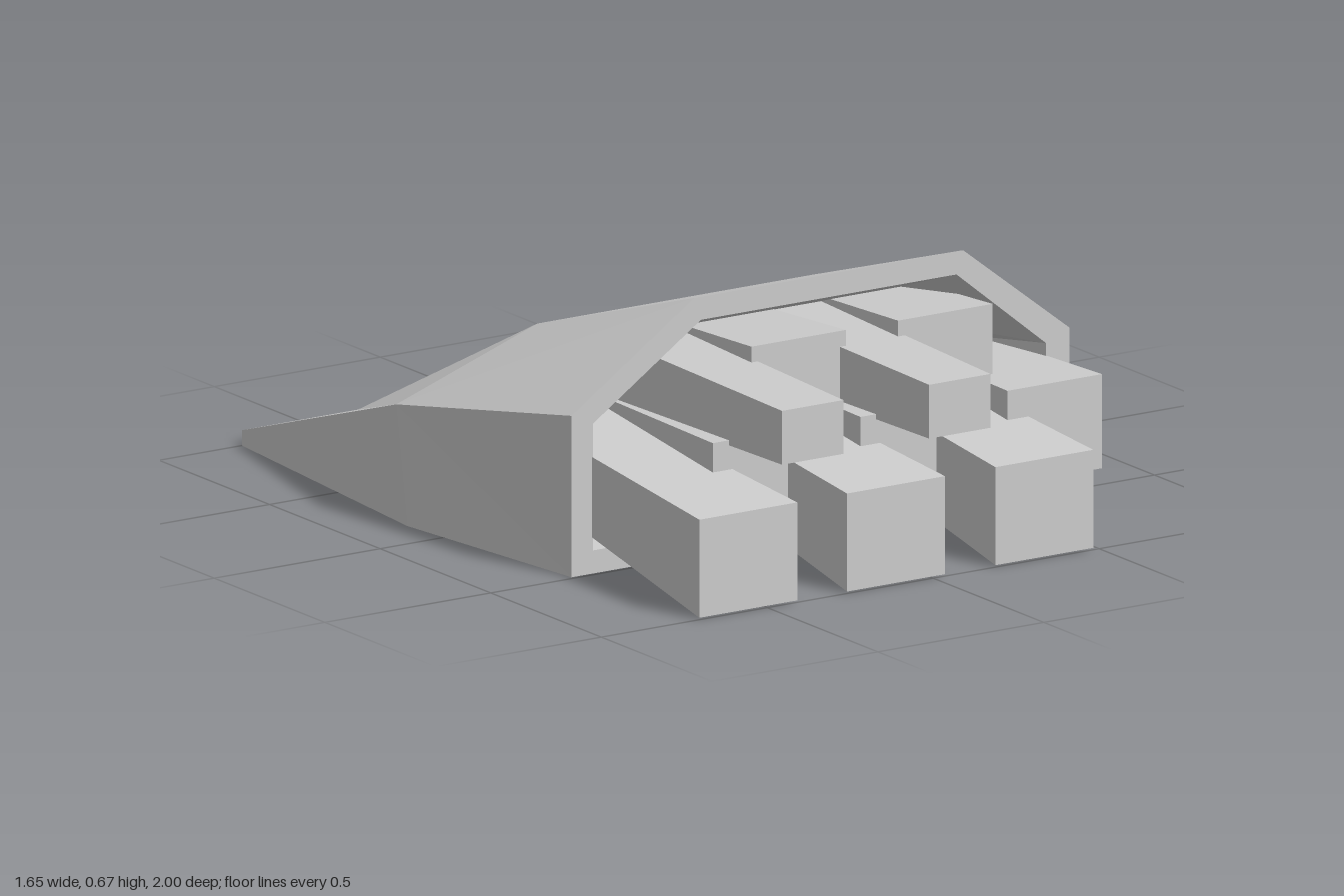
import * as THREE from 'three';

const material = new THREE.MeshStandardMaterial({ color: 0xcccccc, flatShading: true });

function addMesh(parent, name, geometry) {
  const mesh = new THREE.Mesh(geometry, material);
  mesh.name = name;
  parent.add(mesh);
}

// Flat-faced geometry from corner points and convex polygons
function faceted(points, faces) {
  const position = [];
  for (const face of faces) {
    for (let i = 1; i < face.length - 1; i++) {
      for (const k of [face[0], face[i], face[i + 1]]) position.push(...points[k]);
    }
  }
  const geometry = new THREE.BufferGeometry();
  geometry.setAttribute('position', new THREE.Float32BufferAttribute(position, 3));
  geometry.computeVertexNormals();
  return geometry;
}

// Tapered bar along z; each end is { z, w, y0, y1 }
function bar(x, front, back) {
  const geometry = new THREE.BoxGeometry(1, 1, 1).toNonIndexed();
  const p = geometry.attributes.position;
  for (let i = 0; i < p.count; i++) {
    const end = p.getZ(i) > 0 ? front : back;
    p.setXYZ(i, x + p.getX(i) * end.w, p.getY(i) > 0 ? end.y1 : end.y0, end.z);
  }
  geometry.computeVertexNormals();
  return geometry;
}

export function createModel() {
  const model = new THREE.Group();
  model.name = 'wedgeHousing';
  const zFront = 0.49;

  // Outer wedge: front outline, widest section, thin back edge
  const outline = [[-0.75, 0], [0.75, 0], [0.75, 0.42], [0.43, 0.67], [-0.38, 0.67], [-0.75, 0.42]];
  const hull = [
    ...outline.map(([x, y]) => [x, y, zFront]),
    [0.825, 0, -0.14], [0.825, 0.305, -0.19], [0.43, 0.45, -0.19],
    [-0.4, 0.45, -0.19], [-0.825, 0.305, -0.19], [-0.825, 0, -0.14],
    [-0.75, 0, -1], [0.75, 0, -1], [0.75, 0.04, -1], [-0.75, 0.04, -1], [-0.4, 0.04, -1],
  ];
  addMesh(model, 'outerShell', faceted(hull, [
    [1, 6, 7, 2], [6, 13, 14, 7], [0, 5, 10, 11], [11, 10, 15, 12], // sides
    [2, 7, 3], [3, 7, 8], [7, 14, 8], // left slope
    [4, 9, 10], [4, 10, 5], [9, 16, 10], [10, 16, 15], // right slope
    [3, 8, 9, 4], [8, 14, 16, 9], // roof
    [13, 12, 15, 16, 14], [0, 11, 12, 13, 6, 1], // back edge and underside
  ]));

  // Front rim around the opening
  const opening = [[-0.685, 0.06], [0.68, 0.06], [0.68, 0.39], [0.41, 0.61], [-0.36, 0.61], [-0.685, 0.39]];
  const toPath = (pts) => pts.map(([x, y]) => new THREE.Vector2(x, y));
  const rim = new THREE.Shape(toPath(outline));
  rim.holes.push(new THREE.Path(toPath(opening)));
  addMesh(model, 'frontRim', new THREE.ShapeGeometry(rim).translate(0, 0, zFront));

  // Cavity narrowing towards the back
  const inner = [[-0.59, 0.12], [0.59, 0.12], [0.59, 0.31], [0.4, 0.4], [-0.37, 0.4], [-0.59, 0.31]];
  const walls = opening.map((_, i) => {
    const j = (i + 1) % 6;
    return [i, j, j + 6, i + 6];
  });
  addMesh(model, 'cavity', faceted(
    [...opening.map(([x, y]) => [x, y, zFront]), ...inner.map(([x, y]) => [x, y, -0.1])],
    [...walls, [6, 7, 8, 9, 10, 11]],
  ));

  // Staggered rows of tapered bars reaching out of the opening
  const rows = [
    { name: 'lowerBar', xs: [-0.557, -0.112, 0.335],
      front: { z: 1, w: 0.295, y0: 0.005, y1: 0.26 }, back: { z: 0, w: 0.23, y0: 0.18, y1: 0.345 } },
    { name: 'middleBar', xs: [-0.335, 0.11, 0.553],
      front: { z: 0.72, w: 0.285, y0: 0.115, y1: 0.36 }, back: { z: 0.02, w: 0.21, y0: 0.165, y1: 0.35 } },
    { name: 'upperBar', xs: [-0.112, 0.33],
      front: { z: 0.56, w: 0.285, y0: 0.35, y1: 0.54 }, back: { z: 0.2, w: 0.27, y0: 0.36, y1: 0.52 } },
    { name: 'slimUpperBar', xs: [-0.333, 0.11],
      front: { z: 0.955, w: 0.185, y0: 0.35, y1: 0.49 }, back: { z: 0.2, w: 0.205, y0: 0.34, y1: 0.507 } },
  ];
  for (const { name, xs, front, back } of rows) {
    const row = new THREE.Group();
    row.name = name + 'Row';
    xs.forEach((x) => addMesh(row, name, bar(x, front, back)));
    model.add(row);
  }
  return model;
}
